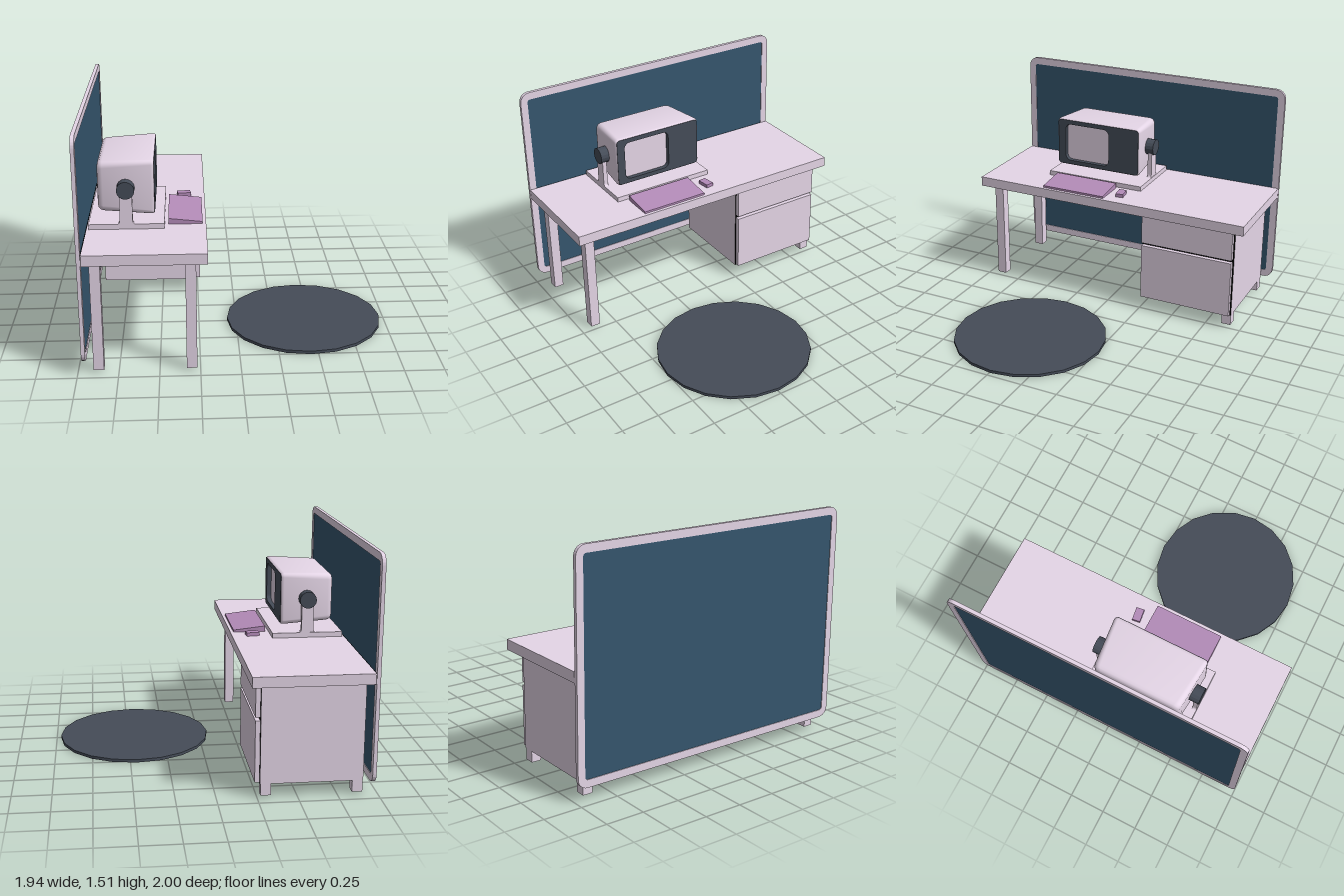
import * as THREE from 'three';
import { toCreasedNormals } from 'three/addons/utils/BufferGeometryUtils.js';

const material = (name, color) => {
  const m = new THREE.MeshStandardMaterial({ color });
  m.name = name;
  return m;
};

// Rounded rectangle, used for outlines and holes
function roundedRect(path, x0, y0, x1, y1, r) {
  path.moveTo(x0 + r, y0);
  path.lineTo(x1 - r, y0);
  path.absarc(x1 - r, y0 + r, r, -Math.PI / 2, 0);
  path.lineTo(x1, y1 - r);
  path.absarc(x1 - r, y1 - r, r, 0, Math.PI / 2);
  path.lineTo(x0 + r, y1);
  path.absarc(x0 + r, y1 - r, r, Math.PI / 2, Math.PI);
  path.lineTo(x0, y0 + r);
  path.absarc(x0 + r, y0 + r, r, Math.PI, Math.PI * 1.5);
  return path;
}

// Plate standing in the z-y plane, its front at xFront, growing towards -x
function plate(shape, xFront, depth, curveSegments) {
  return new THREE.ExtrudeGeometry(shape, { depth, bevelEnabled: false, curveSegments })
    .rotateY(-Math.PI / 2).translate(xFront, 0, 0);
}

// Loft of rounded rectangles along x; section = [x, halfZ, halfY, radius]
function loft(sections, cy, cz, steps = 6) {
  const pos = [], index = [], n = 4 * (steps + 1);
  for (const [x, hz, hy, r] of sections) {
    for (let c = 0; c < 4; c++) {
      const sz = c === 0 || c === 3 ? 1 : -1, sy = c < 2 ? 1 : -1;
      for (let k = 0; k <= steps; k++) {
        const a = (c + k / steps) * Math.PI / 2;
        pos.push(x, cy + sy * (hy - r) + r * Math.sin(a), cz + sz * (hz - r) + r * Math.cos(a));
      }
    }
  }
  const last = sections.length - 1;
  pos.push(sections[0][0], cy, cz, sections[last][0], cy, cz);
  const startCentre = n * sections.length;
  for (let j = 0; j < n; j++) {
    const k = (j + 1) % n;
    for (let i = 0; i < last; i++) {
      const a = i * n + j, b = i * n + k;
      index.push(a, a + n, b, b, a + n, b + n);
    }
    index.push(startCentre, j, k, startCentre + 1, last * n + k, last * n + j);
  }
  const g = new THREE.BufferGeometry();
  g.setAttribute('position', new THREE.Float32BufferAttribute(pos, 3));
  g.setIndex(index);
  return toCreasedNormals(g, 0.7);
}

export function createModel() {
  const model = new THREE.Group();
  model.name = 'deskWorkstation';
  const lilac = material('paleLilac', 0xe5d6e7);
  const blue = material('slateBlue', 0x35566e);
  const dark = material('charcoal', 0x454c58);
  const purple = material('mauve', 0xb48cb9);
  const black = material('black', 0x000000);

  // Box faces in the order +x, -x, +y, -y, +z, -z
  const blackBelow = [lilac, lilac, lilac, black, lilac, lilac];
  const blackFrontAndBelow = [black, lilac, lilac, black, lilac, lilac];

  const add = (name, geometry, mat) => {
    const mesh = new THREE.Mesh(geometry, mat);
    mesh.name = name;
    model.add(mesh);
    return mesh;
  };
  // Box given by its minimum and maximum in each direction
  const box = (name, mat, x0, x1, y0, y1, z0, z1) =>
    add(name, new THREE.BoxGeometry(x1 - x0, y1 - y0, z1 - z0)
      .translate((x0 + x1) / 2, (y0 + y1) / 2, (z0 + z1) / 2), mat);

  // Round floor mat
  add('floorMat', new THREE.CylinderGeometry(0.515, 0.515, 0.02, 20)
    .translate(0.455, 0.01, 0.242), dark);

  // Divider panel: frame with a fabric infill
  const frame = roundedRect(new THREE.Shape(), -1, 0.092, 1, 1.514, 0.065);
  frame.holes.push(roundedRect(new THREE.Path(), -0.952, 0.142, 0.952, 1.464, 0.02));
  add('dividerFrame', plate(frame, -0.946, 0.024, 3), lilac);
  box('dividerFabric', blue, -0.966, -0.95, 0.14, 1.466, -0.954, 0.954);

  // Desk, with unpainted undersides and a dark joint against the divider
  box('deskTop', blackBelow, -0.942, -0.2, 0.73, 0.798, -1, 1);
  box('deskJoint', black, -0.947, -0.942, 0.732, 0.796, -0.998, 0.998);
  for (const x of [-0.905, -0.335])
    for (const z of [0.865, -0.925])
      box('deskLeg', blackBelow, x, x + 0.065, 0.016, 0.73, z, z + 0.065);

  // Drawer cabinet, its dark front showing in the gaps around the drawers
  box('cabinet', blackFrontAndBelow, -0.907, -0.266, 0.092, 0.73, -0.927, -0.256);
  box('upperDrawer', blackBelow, -0.264, -0.234, 0.518, 0.722, -0.918, -0.262);
  box('lowerDrawer', blackBelow, -0.264, -0.234, 0.1, 0.497, -0.918, -0.262);

  // Monitor stand: base, two arms and two pivot knobs
  box('standBase', lilac, -0.93, -0.46, 0.798, 0.831, -0.149, 0.574);
  const arm = new THREE.Shape();
  arm.moveTo(-0.75, 0.83);
  arm.lineTo(-0.64, 0.83);
  arm.quadraticCurveTo(-0.655, 0.835, -0.655, 0.855);
  arm.lineTo(-0.655, 1.05);
  arm.lineTo(-0.735, 1.05);
  arm.lineTo(-0.735, 0.855);
  arm.quadraticCurveTo(-0.735, 0.835, -0.75, 0.83);
  const centreZ = 0.215;
  for (const side of [-1, 1]) {
    add('standArm', new THREE.ExtrudeGeometry(arm, { depth: 0.03, bevelEnabled: false, curveSegments: 4 })
      .translate(0, 0, centreZ + side * 0.345 - 0.015), lilac);
    add('pivotKnob', toCreasedNormals(new THREE.CylinderGeometry(0.056, 0.056, 0.08, 16), 0.3)
      .rotateX(Math.PI / 2).translate(-0.695, 1.052, centreZ + side * 0.333), dark);
  }

  // Monitor shell, tapering to the back; its recessed front forms the screen
  const centreY = 1.052;
  add('monitorShell', loft([
    [-0.872, 0.265, 0.128, 0.03],
    [-0.868, 0.281, 0.145, 0.035],
    [-0.856, 0.292, 0.157, 0.04],
    [-0.838, 0.298, 0.161, 0.04],
    [-0.54, 0.322, 0.174, 0.028],
    [-0.525, 0.319, 0.171, 0.026],
    [-0.52, 0.314, 0.166, 0.022],
    [-0.55, 0.314, 0.166, 0.022],
  ], centreY, centreZ), lilac);

  // Dark bezel with the screen opening
  const bezel = roundedRect(new THREE.Shape(), centreZ - 0.314, centreY - 0.166,
    centreZ + 0.314, centreY + 0.166, 0.022);
  bezel.holes.push(roundedRect(new THREE.Path(), 0.132, 0.915, 0.472, 1.187, 0.04));
  add('monitorBezel', toCreasedNormals(plate(bezel, -0.518, 0.032, 6), 0.6), dark);

  // Wedge keyboard
  const wedge = new THREE.Shape([[-0.437, 0.798], [-0.222, 0.798], [-0.222, 0.812], [-0.437, 0.836]]
    .map(([x, y]) => new THREE.Vector2(x, y)));
  add('keyboard', new THREE.ExtrudeGeometry(wedge, { depth: 0.467, bevelEnabled: false })
    .translate(0, 0, 0.032), purple);

  // Mouse, turned slightly
  const mouse = add('mouse', new THREE.BoxGeometry(0.088, 0.024, 0.054), purple);
  mouse.position.set(-0.338, 0.81, -0.055);
  mouse.rotation.y = 0.13;

  return model;
}
